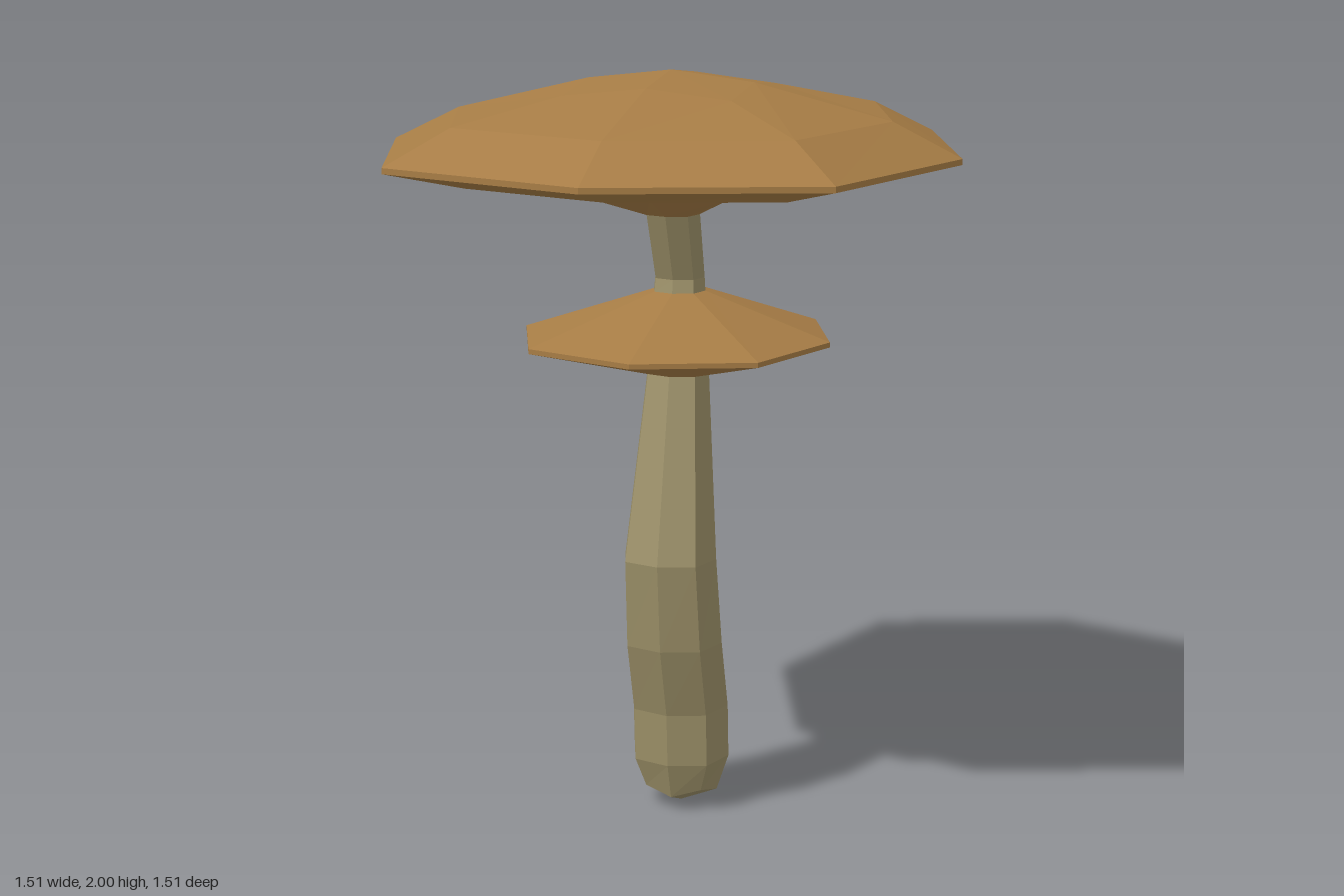
import * as THREE from 'three';

// Eight-sided skin over rings listed bottom to top.
// Ring: [y, axis radius, diagonal corner offset, centre z, extra y of the corners]
function skin(name, rings, color) {
  const pos = [], index = [];
  for (const [y, r, d, z, dy = 0] of rings) {
    for (let i = 0; i < 8; i++) {
      const a = i * Math.PI / 4, corner = i % 2 === 1;
      const k = corner ? d * Math.SQRT2 : r;
      pos.push(k * Math.sin(a), y + (corner ? dy : 0), z + k * Math.cos(a));
    }
  }
  for (let j = 0; j < rings.length - 1; j++) {
    for (let i = 0; i < 8; i++) {
      const a = j * 8 + i, b = j * 8 + (i + 1) % 8;
      // a ring of radius 0 is a tip, so skip its collapsed triangles
      if (rings[j][1] > 0) index.push(a, b, b + 8);
      if (rings[j + 1][1] > 0) index.push(a, b + 8, a + 8);
    }
  }
  const indexed = new THREE.BufferGeometry();
  indexed.setAttribute('position', new THREE.Float32BufferAttribute(pos, 3));
  indexed.setIndex(index);
  const geometry = indexed.toNonIndexed();
  geometry.computeVertexNormals();
  const mesh = new THREE.Mesh(geometry, new THREE.MeshStandardMaterial({ color, flatShading: true }));
  mesh.name = name;
  return mesh;
}

export function createModel() {
  const group = new THREE.Group();
  group.name = 'mushroom';
  const stemColor = 0x9c9068, capColor = 0xa67c45;

  // Rings shared by neighbouring parts
  const stemTop = [1.205, 0.084, 0.064, -0.067];
  const neckBase = [1.42, 0.07, 0.053, -0.08];
  const neckTop = [1.63, 0.072, 0.055, -0.02];

  // Bent stem with a blunt, pointed foot
  group.add(skin('stem', [
    [0, 0, 0, -0.1],
    [0.04, 0.1, 0.077, -0.1, 0.02],
    [0.14, 0.133, 0.1, -0.1],
    [0.285, 0.133, 0.1, -0.09],
    [0.48, 0.132, 0.1, -0.03],
    [0.72, 0.125, 0.096, 0.003],
    stemTop,
  ], stemColor));

  // Small lower cap
  group.add(skin('lowerCap', [
    stemTop,
    [1.295, 0.413, 0.302, -0.045],
    [1.308, 0.413, 0.302, -0.045],
    neckBase,
  ], capColor));

  // Thin neck between the caps
  group.add(skin('neck', [
    neckBase,
    [1.455, 0.067, 0.051, -0.083],
    neckTop,
  ], stemColor));

  // Large upper cap: funnel, underside, rim and dome
  group.add(skin('upperCap', [
    neckTop,
    [1.692, 0.19, 0.18, 0],
    [1.735, 0.54, 0.41, 0],
    [1.785, 0.755, 0.565, 0],
    [1.8, 0.755, 0.565, 0],
    [1.887, 0.577, 0.435, 0],
    [1.974, 0.22, 0.22, 0, -0.024],
    [2, 0, 0, 0],
  ], capColor));

  return group;
}
